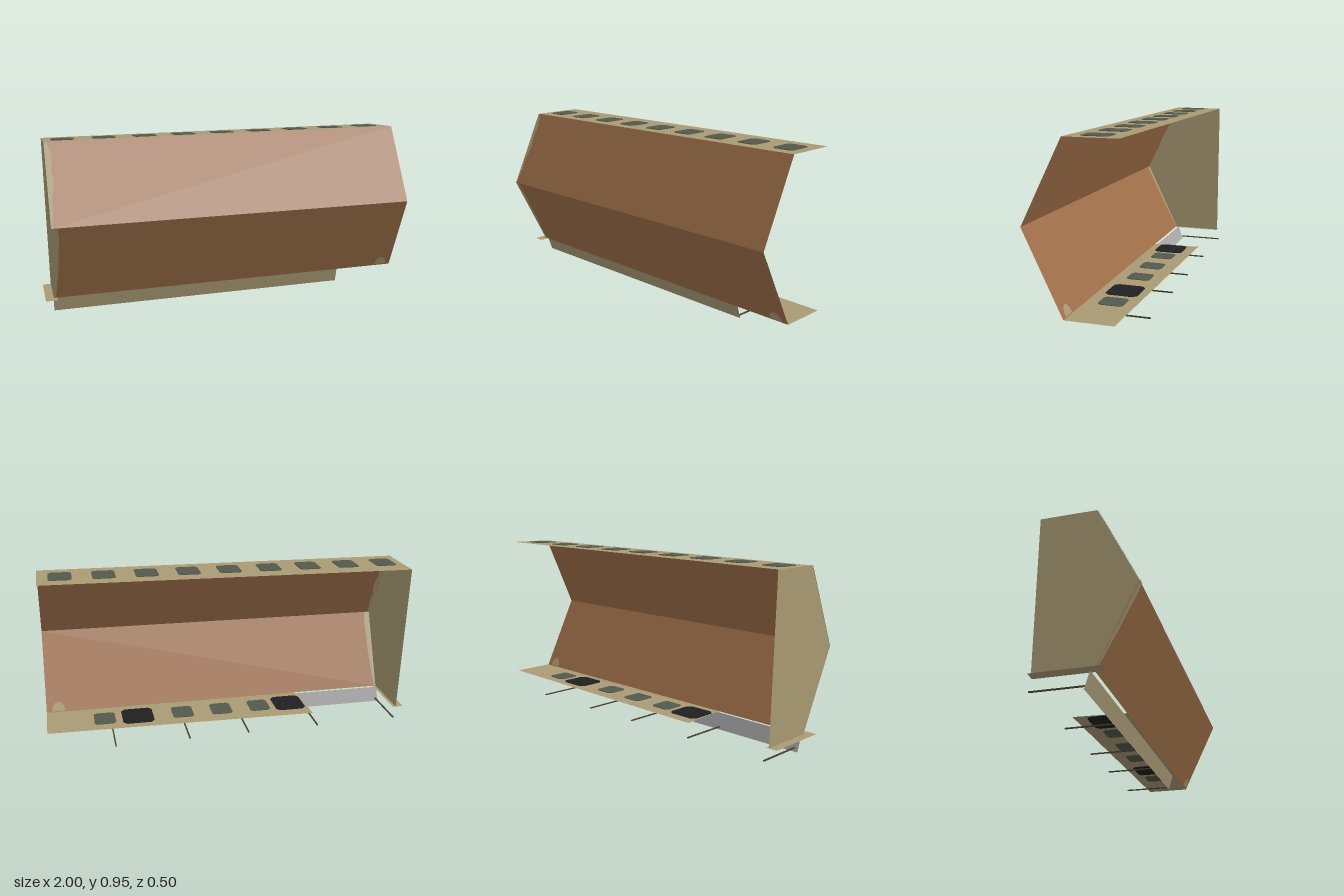
import * as THREE from 'three';

const paint = (name, color) => {
  const m = new THREE.MeshStandardMaterial({ color, side: THREE.DoubleSide });
  m.name = name;
  return m;
};

export function createModel() {
  const tan = paint('tan', 0xaa9b74);
  const brown = paint('brown', 0xa07049);
  const slate = paint('slate', 0x53594c);
  const black = paint('black', 0x202022);
  const grey = paint('grey', 0xadadad);
  const rust = paint('darkMetal', 0x4a4234);

  const model = new THREE.Group();
  model.name = 'wallSection';
  // Everything in the hull leans slightly along its length
  const hull = new THREE.Group();
  hull.name = 'hull';
  hull.position.set(0.011, 0.514, 0);
  hull.rotation.z = 0.0235;
  model.add(hull);

  const add = (parent, name, geo, mat) => {
    const mesh = new THREE.Mesh(geo, mat);
    mesh.name = name;
    parent.add(mesh);
    return mesh;
  };
  // Flat convex sheet from its corners
  const sheet = (parent, name, pts, mat) => {
    const pos = [];
    for (let i = 1; i < pts.length - 1; i++) pos.push(...pts[0], ...pts[i], ...pts[i + 1]);
    const geo = new THREE.BufferGeometry();
    geo.setAttribute('position', new THREE.Float32BufferAttribute(pos, 3));
    geo.computeVertexNormals();
    return add(parent, name, geo, mat);
  };

  const L = 0.978, H = 0.409, F = 0.05, R = 0.25;

  // Folded front: two sloping panels meeting at a ridge
  sheet(hull, 'upperPanel', [[-L, 0, R], [L, 0, R], [L, H, F], [-L, H, F]], brown);
  sheet(hull, 'lowerPanel', [[-L, -H, F], [L, -H, F], [L, 0, R], [-L, 0, R]], brown);

  // Top and bottom shelves, narrowing towards one end
  sheet(hull, 'topShelf', [[-L, H, F], [L, H, F], [L, H, -0.21], [-L, H, -0.232]], tan);
  sheet(hull, 'bottomShelf', [[-0.46, -H, F], [L, -H, F], [L, -H, -0.19], [-0.48, -H, -0.222]], tan);

  // Closed end
  sheet(hull, 'endWall', [[-L, H, F], [-L, H, -0.232], [-L, -H, -0.236], [-L, -H, F], [-L, 0, R]], tan);

  // Square pads with clipped corners, showing on both faces of a shelf
  const pad = (name, u, v, w, d, mat) => {
    const a = w / 2, b = d / 2, c = w * 0.12;
    const shape = new THREE.Shape([[-a + c, -b], [a - c, -b], [a, -b + c], [a, b - c],
      [a - c, b], [-a + c, b], [-a, b - c], [-a, -b + c]].map(p => new THREE.Vector2(...p)));
    const geo = new THREE.ExtrudeGeometry(shape, { depth: 0.006, bevelEnabled: false });
    geo.translate(0, 0, -0.003).rotateX(-Math.PI / 2).translate(u, v, -0.076);
    add(hull, name, geo, mat);
  };
  for (let i = 0; i < 9; i++) pad('topPad', -0.876 + i * 0.2175, H, 0.117, 0.132, slate);
  for (const u of [0.67, 0.24, 0.02, -0.2]) pad('bottomPad', u, -H, 0.115, 0.125, slate);
  for (const u of [0.49, -0.375]) pad('bottomHatch', u, -H, 0.17, 0.165, black);

  // Worn paint lying on both faces of the folded panels
  const worn = (name, pts) => {
    for (const off of [-0.003, 0.003]) {
      const geo = new THREE.ShapeGeometry(new THREE.Shape(pts.map(p => new THREE.Vector2(...p))));
      const p = geo.attributes.position;
      for (let i = 0; i < p.count; i++) p.setZ(i, R - (R - F) * Math.abs(p.getY(i)) / H + off);
      geo.computeVertexNormals();
      add(hull, name, geo, tan);
    }
  };
  const wornEdge = (name, sign, widths) => {
    const n = widths.length - 1;
    worn(name, [[-L, 0], ...widths.map((w, i) => [-L + w, sign * H * i / n]), [-L, sign * H]]);
  };
  wornEdge('upperWornEdge', 1, [0.008, 0.012, 0.022, 0.016, 0.03, 0.034, 0.024, 0.033, 0.03, 0.014]);
  wornEdge('lowerWornEdge', -1, [0.03, 0.036, 0.034, 0.03, 0.03, 0.026, 0.022, 0.016, 0.01]);
  const spot = [];
  for (let i = 0; i <= 8; i++) {
    const a = Math.PI * i / 8;
    spot.push([0.913 + 0.036 * Math.cos(a), -H + 0.006 + 0.046 * Math.sin(a)]);
  }
  worn('wornSpot', spot);

  // Slanted skirt under the front, tan outside and grey inside
  const skirt = (name, dz, mat) => sheet(model, name, [[-0.955, 0.001, 0.007 + dz],
    [0.67, 0.04, 0.007 + dz], [0.668, 0.121, 0.032 + dz], [-0.957, 0.082, 0.032 + dz]], mat);
  skirt('skirtFront', 0.0015, tan);
  skirt('skirtBack', -0.0015, grey);

  // Rods running back from the skirt
  for (const x of [-0.94, -0.48, -0.08, 0.25, 0.65]) {
    const rod = add(model, 'rod', new THREE.BoxGeometry(0.007, 0.006, 0.255), rust);
    rod.position.set(x, 0.022 + 0.0135 * (x + 0.94), -0.1225);
  }

  // Narrow foot strip under the closed end
  sheet(model, 'footStrip', [[-1, 0.081, 0.1], [-0.94, 0.082, 0.1], [-0.94, 0.082, -0.236], [-1, 0.081, -0.236]], tan);

  return model;
}
